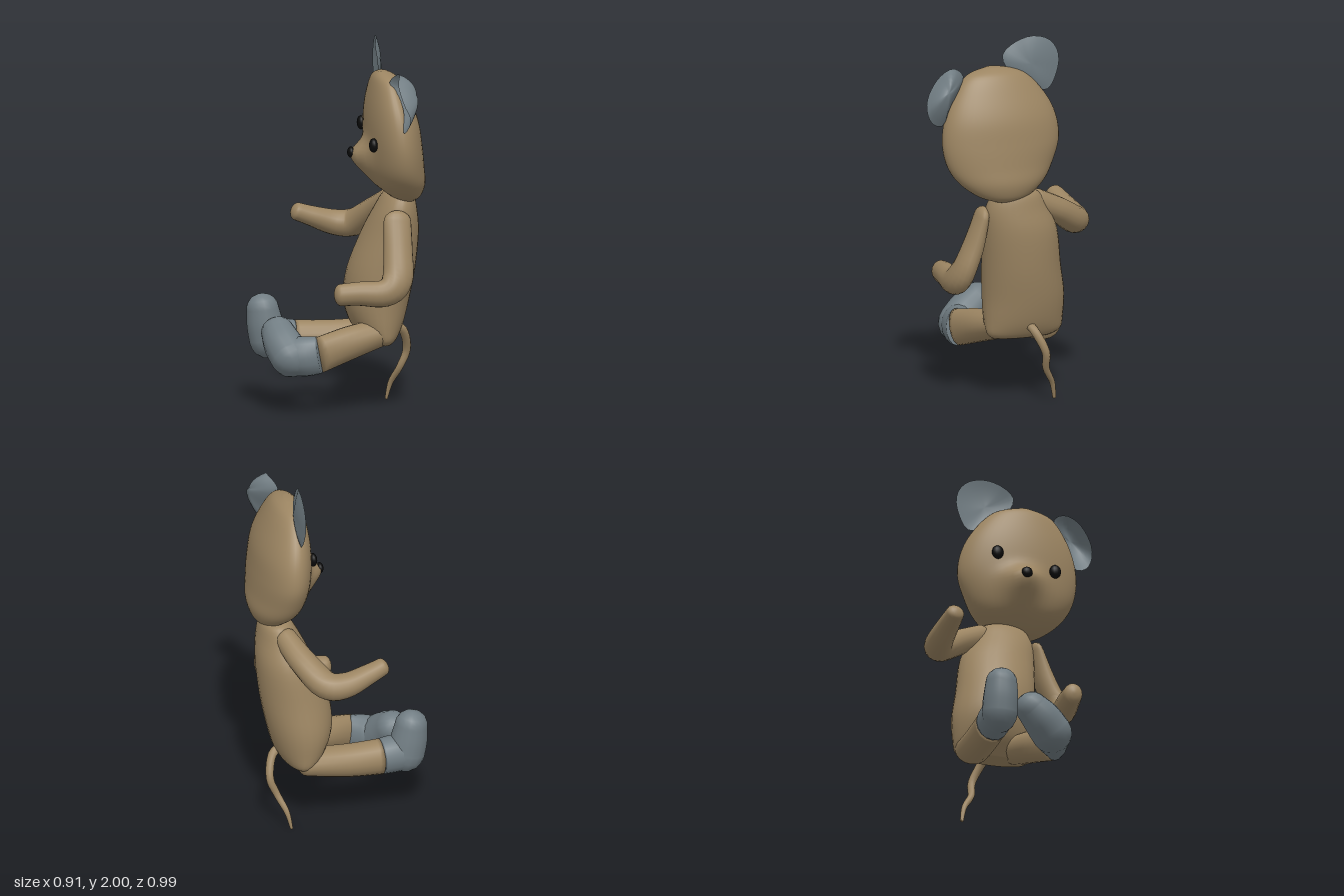
import * as THREE from 'three';

const fur = new THREE.MeshStandardMaterial({ color: 0x9c8562 });
fur.name = 'brown fur';
const slate = new THREE.MeshStandardMaterial({ color: 0x717d83, side: THREE.DoubleSide });
slate.name = 'slate grey';
const black = new THREE.MeshStandardMaterial({ color: 0x0a0a0a });
black.name = 'black';

const V = (x, y, z) => new THREE.Vector3(x, y, z);

// Smooth interpolation through rows of numbers, t in 0..1
function sampleRows(rows, t) {
  const f = t * (rows.length - 1);
  const i = Math.min(Math.floor(f), rows.length - 2);
  const u = f - i;
  const at = (k) => rows[Math.max(0, Math.min(rows.length - 1, k))];
  return rows[0].map((_, c) => {
    const [a, b, d, e] = [at(i - 1)[c], at(i)[c], at(i + 1)[c], at(i + 2)[c]];
    return b + 0.5 * u * (d - a + u * (2 * a - 5 * b + 4 * d - e + u * (3 * (b - d) + e - a)));
  });
}

// Skin a closed solid over rings of equal point count
function loft(rings) {
  const n = rings[0].length;
  const pts = rings.flat();
  const index = [];
  for (let r = 0; r < rings.length - 1; r++) {
    for (let i = 0; i < n; i++) {
      const a = r * n + i, b = r * n + (i + 1) % n;
      index.push(a, b, b + n, a, b + n, a + n);
    }
  }
  [0, rings.length - 1].forEach((r) => {
    const c = pts.length;
    pts.push(rings[r].reduce((s, p) => s.add(p), V(0, 0, 0)).divideScalar(n));
    for (let i = 0; i < n; i++) {
      const a = r * n + i, b = r * n + (i + 1) % n;
      if (r === 0) index.push(c, b, a);
      else index.push(c, a, b);
    }
  });
  // Turn the faces outward
  let volume = 0;
  for (let k = 0; k < index.length; k += 3) {
    volume += pts[index[k]].dot(V(0, 0, 0).crossVectors(pts[index[k + 1]], pts[index[k + 2]]));
  }
  if (volume < 0) index.reverse();
  const g = new THREE.BufferGeometry().setFromPoints(pts);
  g.setIndex(index);
  g.computeVertexNormals();
  return g;
}

// Upright solid from rows of [y, x front, x back, z low, z high]
function ovalBody(rows, steps, sides, push = () => 0) {
  const rings = [];
  for (let s = 0; s <= steps; s++) {
    const [y, xf, xb, z0, z1] = sampleRows(rows, s / steps);
    const ring = [];
    for (let i = 0; i < sides; i++) {
      const t = (i / sides) * Math.PI * 2;
      const z = (z0 + z1) / 2 + (z1 - z0) / 2 * Math.sin(t);
      const x = (xf + xb) / 2 + (xb - xf) / 2 * Math.cos(t);
      ring.push(V(x + push(y, z) * Math.max(0, -Math.cos(t)), y, z));
    }
    rings.push(ring);
  }
  return loft(rings);
}

// Limb along nodes of [x, y, z, radius across ref, radius along ref], with rounded ends
function limb(nodes, ref, roundStart = 0.5, roundEnd = 0.5, sides = 16) {
  const steps = (nodes.length - 1) * 5;
  const rings = [];
  const addRing = (t, shrink, offset) => {
    const [x, y, z, a, b] = sampleRows(nodes, t);
    const e = 0.01;
    const p0 = sampleRows(nodes, Math.max(0, t - e)), p1 = sampleRows(nodes, Math.min(1, t + e));
    const T = V(p1[0] - p0[0], p1[1] - p0[1], p1[2] - p0[2]).normalize();
    const N = V(0, 0, 0).crossVectors(T, ref).normalize();
    const B = V(0, 0, 0).crossVectors(N, T);
    const C = V(x, y, z).addScaledVector(T, offset * Math.max(a, b));
    const ring = [];
    for (let i = 0; i < sides; i++) {
      const q = (i / sides) * Math.PI * 2;
      ring.push(C.clone().addScaledVector(N, a * shrink * Math.cos(q)).addScaledVector(B, b * shrink * Math.sin(q)));
    }
    rings.push(ring);
  };
  const cap = [0.3, 0.6, 0.85, 0.98];
  const radius = (k) => Math.sqrt(1 - k * k);
  if (roundStart) [...cap].reverse().forEach((k) => addRing(0, radius(k), -k * roundStart));
  for (let s = 0; s <= steps; s++) addRing(s / steps, 1, 0);
  if (roundEnd) cap.forEach((k) => addRing(1, radius(k), k * roundEnd));
  return loft(rings);
}

// Thin cupped ear: rim points and the deepest point of the cup
function earDish(rim, deep) {
  const n = 28, rows = 6;
  const edge = new THREE.CatmullRomCurve3(rim.map((p) => V(...p)), true).getSpacedPoints(n).slice(0, n);
  const mid = edge.reduce((s, p) => s.add(p), V(0, 0, 0)).divideScalar(n);
  const hollow = V(...deep).sub(mid);
  const pts = [mid.clone().add(hollow)];
  const index = [];
  for (let r = 1; r <= rows; r++) {
    const s = r / rows;
    edge.forEach((p) => pts.push(mid.clone().lerp(p, s).addScaledVector(hollow, 1 - s * s)));
    for (let i = 0; i < n; i++) {
      const a = 1 + (r - 1) * n + i, b = 1 + (r - 1) * n + (i + 1) % n;
      if (r === 1) index.push(0, a, b);
      else index.push(a - n, a, b, a - n, b, b - n);
    }
  }
  const g = new THREE.BufferGeometry().setFromPoints(pts);
  g.setIndex(index);
  g.computeVertexNormals();
  return g;
}

export function createModel() {
  const model = new THREE.Group();
  model.name = 'seatedMouseToy';
  const add = (name, geometry, material) => {
    const m = new THREE.Mesh(geometry, material);
    m.name = name;
    model.add(m);
    return m;
  };
  const up = V(0, 1, 0), side = V(0, 0, 1);

  // Torso
  add('torso', ovalBody([
    [1.19, 0.29, 0.37, -0.06, 0.08], [1.165, 0.25, 0.41, -0.13, 0.13], [1.08, 0.2, 0.43, -0.18, 0.165],
    [0.95, 0.14, 0.445, -0.245, 0.165], [0.75, 0.065, 0.43, -0.28, 0.155], [0.58, 0.05, 0.4, -0.31, 0.145],
    [0.45, 0.09, 0.365, -0.305, 0.14], [0.38, 0.15, 0.33, -0.29, 0.13], [0.35, 0.18, 0.3, -0.24, 0.1],
  ], 32, 28), fur);

  // Head, with the muzzle pushed out of the face
  const muzzle = (y, z) => -0.095 * Math.exp(-(((z - 0.06) / 0.095) ** 2) - (((y - 1.395) / (y > 1.395 ? 0.065 : 0.11)) ** 2));
  add('head', ovalBody([
    [1.848, 0.2, 0.25, 0.05, 0.13], [1.81, 0.17, 0.31, -0.08, 0.25], [1.7, 0.145, 0.37, -0.185, 0.335],
    [1.58, 0.135, 0.415, -0.245, 0.385], [1.45, 0.14, 0.435, -0.26, 0.4], [1.33, 0.155, 0.447, -0.22, 0.375],
    [1.24, 0.19, 0.455, -0.165, 0.315], [1.17, 0.265, 0.435, -0.08, 0.22], [1.135, 0.33, 0.4, 0, 0.12],
  ], 48, 48, muzzle), fur);

  // Eyes and nose
  [['leftEye', 0.147, 1.47, 0.243, 0.024, 0.038, 0.032],
    ['rightEye', 0.142, 1.54, -0.08, 0.022, 0.038, 0.032],
    ['nose', 0.06, 1.405, 0.06, 0.02, 0.03, 0.03]].forEach(([name, x, y, z, rx, ry, rz]) => {
    const m = add(name, new THREE.SphereGeometry(1, 16, 12), black);
    m.position.set(x, y, z);
    m.scale.set(rx, ry, rz);
  });

  // Ears
  add('rightEar', earDish([
    [0.21, 1.9, 0.03], [0.21, 1.96, -0.03], [0.235, 2, -0.13], [0.243, 1.975, -0.225], [0.245, 1.9, -0.277],
    [0.245, 1.8, -0.272], [0.25, 1.7, -0.21], [0.24, 1.74, -0.1], [0.22, 1.82, 0],
  ], [0.26, 1.85, -0.12]), slate);
  add('leftEar', earDish([
    [0.23, 1.81, 0.26], [0.27, 1.87, 0.34], [0.25, 1.82, 0.41], [0.27, 1.72, 0.48], [0.3, 1.65, 0.495],
    [0.29, 1.58, 0.46], [0.28, 1.56, 0.4], [0.29, 1.66, 0.36], [0.27, 1.75, 0.3],
  ], [0.355, 1.76, 0.39]), slate);

  // Arms
  add('leftArm', limb([
    [0.29, 1.04, 0.18, 0.075, 0.035], [0.285, 0.88, 0.225, 0.08, 0.055], [0.27, 0.74, 0.28, 0.085, 0.062],
    [0.2, 0.675, 0.3, 0.075, 0.065], [0.06, 0.675, 0.292, 0.065, 0.06], [-0.04, 0.67, 0.285, 0.06, 0.052],
  ], side, 0.8, 0.6), fur);
  add('rightArm', limb([
    [0.31, 1.11, -0.12, 0.06, 0.065], [0.255, 1.03, -0.27, 0.075, 0.07], [0.17, 0.945, -0.395, 0.08, 0.075],
    [0.07, 0.94, -0.425, 0.072, 0.07], [-0.06, 0.98, -0.415, 0.06, 0.055], [-0.145, 1.01, -0.405, 0.05, 0.048],
  ], up, 0.6, 0.6), fur);

  // Legs, with grey boots made of an ankle and an upturned foot
  add('leftLeg', limb([
    [0.22, 0.415, 0.04, 0.09, 0.075], [0.05, 0.375, 0.09, 0.085, 0.09], [-0.13, 0.325, 0.157, 0.056, 0.1],
  ], up, 0.5, 0), fur);
  add('leftBootAnkle', limb([
    [-0.13, 0.325, 0.157, 0.057, 0.101], [-0.2, 0.315, 0.13, 0.085, 0.108], [-0.27, 0.312, 0.09, 0.1, 0.105],
  ], up, 0, 0.7), slate);
  add('leftBootFoot', limb([
    [-0.275, 0.31, 0.095, 0.11, 0.11], [-0.305, 0.37, 0.03, 0.105, 0.105], [-0.32, 0.42, -0.03, 0.09, 0.092],
  ], V(1, 0, 0), 1, 0.95), slate);
  add('rightLeg', limb([
    [0.22, 0.385, -0.2, 0.095, 0.075], [0, 0.36, -0.21, 0.09, 0.09], [-0.2, 0.355, -0.215, 0.088, 0.1],
  ], up, 0.5, 0), fur);
  add('rightBootAnkle', limb([
    [-0.2, 0.355, -0.215, 0.089, 0.101], [-0.27, 0.36, -0.215, 0.092, 0.105], [-0.34, 0.36, -0.215, 0.09, 0.1],
  ], up, 0, 0.7), slate);
  add('rightBootFoot', limb([
    [-0.335, 0.355, -0.215, 0.096, 0.105], [-0.355, 0.44, -0.215, 0.094, 0.1], [-0.368, 0.525, -0.215, 0.085, 0.088],
  ], V(1, 0, 0), 1, 0.9), slate);

  // Tail
  add('tail', limb([
    [0.3, 0.44, -0.07, 0.025, 0.025], [0.375, 0.4, -0.095, 0.024, 0.024], [0.405, 0.29, -0.145, 0.022, 0.022],
    [0.37, 0.19, -0.16, 0.019, 0.019], [0.33, 0.1, -0.21, 0.015, 0.015], [0.31, 0.008, -0.23, 0.008, 0.01],
  ], side, 0.5, 0.5, 10), fur);

  return model;
}
